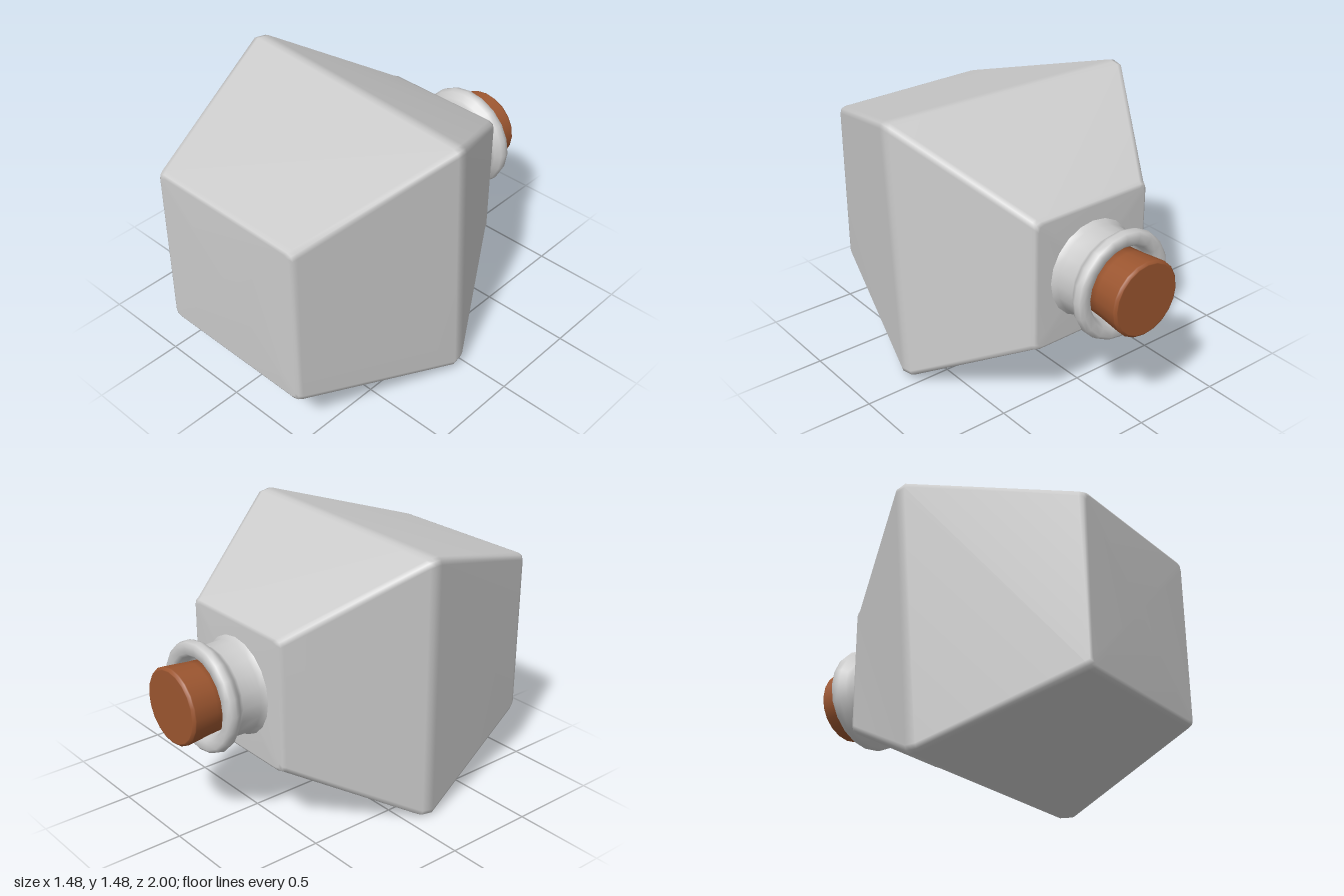
import * as THREE from 'three';

const V = (x, y, z) => new THREE.Vector3(x, y, z);
const CX = 0.012, CY = 0.74; // bottle axis

// Four corners of a square section, counter-clockwise seen from +z
const square = (half, z) =>
  [[1, 1], [-1, 1], [-1, -1], [1, -1]].map(([sx, sy]) => V(CX + sx * half, CY + sy * half, z));

const blend = (a, b, t) => a.map((p, i) => p.clone().lerp(b[i], t));

// Round each corner of a section with a short curve
function roundSection(corners, cut = 0.035) {
  return corners.flatMap((c, i) => {
    const toward = (q) => c.clone().add(q.clone().sub(c).setLength(cut));
    const before = toward(corners[(i + 3) % 4]), after = toward(corners[(i + 1) % 4]);
    return new THREE.QuadraticBezierCurve3(before, c, after).getPoints(2);
  });
}

// Skin a list of sections running from +z to -z and close both ends
function loft(sections) {
  const n = sections[0].length, points = sections.flat(), index = [];
  for (let r = 0; r < sections.length - 1; r++) {
    for (let j = 0; j < n; j++) {
      const a = r * n + j, b = r * n + (j + 1) % n;
      index.push(a, a + n, b, b, a + n, b + n);
    }
  }
  const last = (sections.length - 1) * n, front = points.length, back = front + 1;
  points.push(V(CX, CY, sections[0][0].z), V(CX, CY, sections.at(-1)[0].z));
  for (let j = 0; j < n; j++) {
    const k = (j + 1) % n;
    index.push(front, j, k, back, last + k, last + j);
  }
  const geometry = new THREE.BufferGeometry().setFromPoints(points);
  geometry.setIndex(index);
  geometry.computeVertexNormals();
  return geometry;
}

// Turned part whose axis points backwards; profile is [radius, distance back]
function turned(profile, segments) {
  const geometry = new THREE.LatheGeometry(profile.map(([r, d]) => new THREE.Vector2(r, d)), segments);
  return geometry.rotateX(-Math.PI / 2).translate(CX, CY, 0);
}

export function createModel() {
  const group = new THREE.Group();
  const grey = new THREE.MeshStandardMaterial({ color: 0xcccccc });
  const brown = new THREE.MeshStandardMaterial({ color: 0x9c5630 });
  const add = (name, geometry, material) => {
    const mesh = new THREE.Mesh(geometry, material);
    mesh.name = name;
    group.add(mesh);
  };

  // Faceted body: small base, wide skewed middle, small shoulder
  const base = square(0.475, 0.97);
  const middle = [V(0.75, 1.482, 0.13), V(-0.752, 1.488, 0.05), V(-0.69, -0.012, 0.12), V(0.742, 0.022, 0.05)];
  const shoulder = square(0.37, -0.57);
  add('body', loft([
    square(0.45, 1),
    square(0.466, 0.992),
    base,
    blend(middle, base, 0.04),
    blend(blend(middle, base, 0.04), blend(middle, shoulder, 0.05), 0.5),
    blend(middle, shoulder, 0.05),
    shoulder,
    square(0.362, -0.59),
    square(0.345, -0.6),
  ].map((s) => roundSection(s))), grey);

  // Neck with flared foot, rolled lip and open mouth
  add('neck', turned([
    [0.275, 0.58], [0.265, 0.602], [0.248, 0.63], [0.245, 0.735], [0.258, 0.76],
    [0.287, 0.785], [0.297, 0.81], [0.29, 0.838], [0.272, 0.852], [0.232, 0.85],
    [0.215, 0.832], [0.205, 0.79], [0.2, 0.7], [0, 0.7],
  ], 20), grey);

  // Tapered cork
  add('cork', turned([
    [0, 0.72], [0.183, 0.72], [0.192, 0.85], [0.206, 0.982], [0.205, 0.988],
    [0.195, 0.999], [0.19, 1], [0, 1],
  ], 20), brown);

  return group;
}
